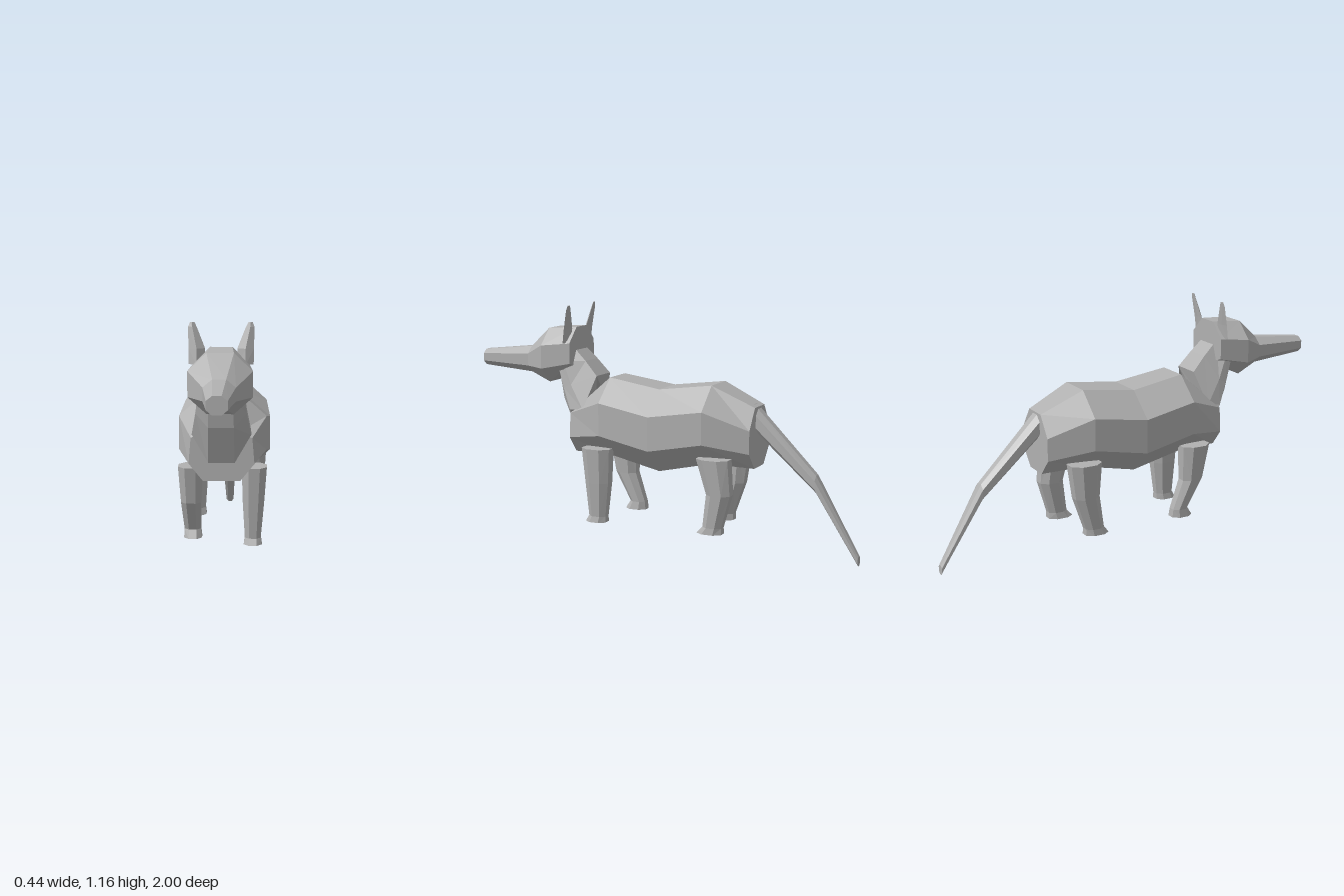
import * as THREE from 'three';

// Closed faceted solid through rings of equal point count, capped at both ends.
function loft(rings) {
  const tris = [];
  const n = rings[0].length;
  for (let r = 0; r + 1 < rings.length; r++) {
    for (let i = 0; i < n; i++) {
      const j = (i + 1) % n, a = rings[r], b = rings[r + 1];
      tris.push([a[i], a[j], b[j]], [a[i], b[j], b[i]]);
    }
  }
  const first = rings[0], last = rings[rings.length - 1];
  for (let i = 1; i + 1 < n; i++) {
    tris.push([first[0], first[i + 1], first[i]], [last[0], last[i], last[i + 1]]);
  }
  // Turn the faces outward whichever way the rings run
  let volume = 0;
  const v = (p) => new THREE.Vector3(...p);
  for (const [a, b, c] of tris) volume += v(a).dot(v(b).cross(v(c)));
  const pos = tris.flatMap(([a, b, c]) => (volume < 0 ? [a, c, b] : [a, b, c])).flat();
  const geo = new THREE.BufferGeometry();
  geo.setAttribute('position', new THREE.Float32BufferAttribute(pos, 3));
  geo.computeVertexNormals();
  return geo;
}

// Mirrored eight-sided ring from four [halfWidth, y, z] points, top to bottom.
const mirrorRing = (half) => [
  ...half,
  ...half.slice().reverse().map(([x, y, z]) => [-x, y, z]),
];

// Upright ring at one z: heights and half widths from top to bottom.
const station = ([z, top, up, low, bottom, wTop, wUp, wLow, wBottom]) =>
  mirrorRing([[wTop, top, z], [wUp, up, z], [wLow, low, z], [wBottom, bottom, z]]);

// Level ring with cut corners, for the legs.
function legRing(y, x0, x1, z0, z1) {
  const cx = (x0 + x1) / 2, cz = (z0 + z1) / 2, w = (x1 - x0) / 2, d = (z1 - z0) / 2, k = 0.45;
  return [[1, k], [k, 1], [-k, 1], [-1, k], [-1, -k], [-k, -1], [k, -1], [1, -k]]
    .map(([a, b]) => [cx + a * w, y, cz + b * d]);
}

export function createModel() {
  const group = new THREE.Group();
  const grey = new THREE.MeshStandardMaterial({ color: 0xb0b0b0, flatShading: true });
  grey.name = 'grey';
  const add = (name, rings) => {
    const mesh = new THREE.Mesh(loft(rings), grey);
    mesh.name = name;
    group.add(mesh);
  };

  // Body
  add('body', [
    [0.44, 0.66, 0.64, 0.52, 0.44, 0.07, 0.14, 0.15, 0.085],
    [0.25, 0.82, 0.71, 0.55, 0.44, 0.08, 0.205, 0.205, 0.09],
    [-0.02, 0.78, 0.665, 0.5, 0.38, 0.09, 0.222, 0.222, 0.09],
    [-0.29, 0.815, 0.705, 0.55, 0.44, 0.085, 0.205, 0.205, 0.09],
    [-0.5, 0.72, 0.62, 0.51, 0.43, 0.06, 0.13, 0.13, 0.06],
  ].map(station));

  // Neck
  add('neck', [
    mirrorRing([[0.07, 0.82, 0.33], [0.135, 0.66, 0.375], [0.135, 0.655, 0.445], [0.06, 0.525, 0.445]]),
    mirrorRing([[0.062, 0.89, 0.395], [0.115, 0.775, 0.45], [0.115, 0.76, 0.49], [0.058, 0.7, 0.52]]),
    mirrorRing([[0.055, 0.96, 0.47], [0.1, 0.89, 0.5], [0.1, 0.87, 0.53], [0.055, 0.83, 0.545]]),
  ]);

  // Head with long muzzle
  add('head', [
    [0.45, 1.055, 0.98, 0.88, 0.86, 0.05, 0.125, 0.125, 0.055],
    [0.6, 1.045, 0.965, 0.85, 0.775, 0.06, 0.144, 0.144, 0.06],
    [0.72, 0.945, 0.91, 0.85, 0.815, 0.03, 0.072, 0.072, 0.03],
    [1.0, 0.915, 0.895, 0.857, 0.835, 0.02, 0.045, 0.045, 0.02],
  ].map(station));

  // Tail
  add('tail', [
    [-0.48, 0.73, 0.7, 0.64, 0.61, 0.02, 0.05, 0.05, 0.02],
    [-0.79, 0.415, 0.395, 0.355, 0.335, 0.016, 0.04, 0.04, 0.016],
    [-1.0, 0.05, 0.04, 0.018, 0.006, 0.01, 0.02, 0.02, 0.01],
  ].map(station));

  // Ears: thin, leaning back toward the tip
  for (const s of [1, -1]) {
    const earRing = (y, x0, x1, z, d) => [
      [s * x0, y, z - d], [s * (x0 + x1) / 2, y, z + d], [s * x1, y, z - d / 2], [s * (x0 + x1) / 2, y, z - d],
    ];
    add(s > 0 ? 'leftEar' : 'rightEar', [
      earRing(0.98, 0.075, 0.145, 0.483, 0.013),
      earRing(1.05, 0.072, 0.146, 0.474, 0.012),
      earRing(1.145, 0.11, 0.148, 0.455, 0.006),
      earRing(1.165, 0.12, 0.14, 0.45, 0.004),
    ]);
  }

  // Legs: y, inner x, outer x, back z, front z
  const legs = {
    leftFrontLeg: [1, [
      [0.48, 0.09, 0.207, 0.21, 0.36], [0.31, 0.095, 0.195, 0.22, 0.345],
      [0.14, 0.105, 0.18, 0.24, 0.33], [0.11, 0.1, 0.185, 0.24, 0.348]]],
    rightFrontLeg: [-1, [
      [0.48, 0.09, 0.207, 0.21, 0.36], [0.305, 0.1, 0.195, 0.215, 0.325],
      [0.16, 0.105, 0.183, 0.165, 0.245], [0.12, 0.1, 0.185, 0.16, 0.27]]],
    leftBackLeg: [1, [
      [0.48, 0.09, 0.207, -0.41, -0.25], [0.31, 0.095, 0.195, -0.42, -0.3],
      [0.15, 0.105, 0.183, -0.375, -0.28], [0.118, 0.1, 0.185, -0.375, -0.25]]],
    rightBackLeg: [-1, [
      [0.48, 0.09, 0.207, -0.4, -0.24], [0.31, 0.095, 0.195, -0.375, -0.25],
      [0.15, 0.105, 0.183, -0.32, -0.225], [0.118, 0.1, 0.185, -0.32, -0.2]]],
  };
  for (const [name, [s, rows]] of Object.entries(legs)) {
    add(name, rows.map(([y, x0, x1, z0, z1]) => legRing(y, s * x0, s * x1, z0, z1)));
  }

  return group;
}
